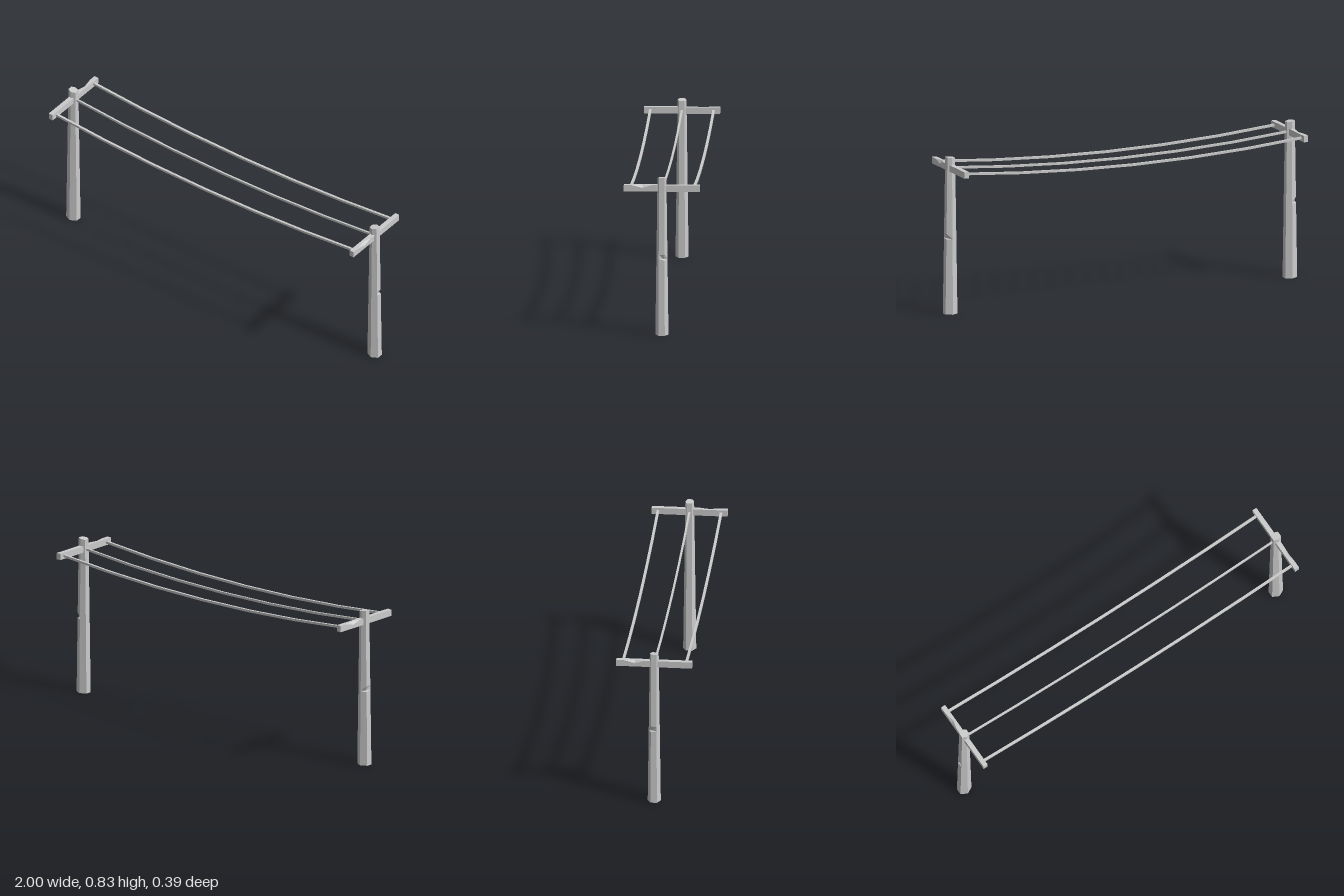
import * as THREE from 'three';

const material = new THREE.MeshStandardMaterial({ color: 0xcccccc, flatShading: true, side: THREE.DoubleSide });
const POST_X = 0.966;

// Skin a list of equal-sized rings (arrays of Vector3) and cap both ends.
function loft(name, rings) {
  const n = rings[0].length, index = [];
  for (let r = 0; r < rings.length - 1; r++) {
    for (let i = 0; i < n; i++) {
      const a = r * n + i, b = r * n + (i + 1) % n;
      index.push(a, a + n, b, b, a + n, b + n);
    }
  }
  const last = (rings.length - 1) * n;
  for (let i = 1; i < n - 1; i++) {
    index.push(0, i, i + 1, last, last + i + 1, last + i);
  }
  const geometry = new THREE.BufferGeometry().setFromPoints(rings.flat());
  geometry.setIndex(index);
  const flat = geometry.toNonIndexed();
  flat.computeVertexNormals();
  const mesh = new THREE.Mesh(flat, material);
  mesh.name = name;
  return mesh;
}

// Six-sided tapering post, with a nick cut in the outer back edge.
function makePost(side) {
  const rings = [0, 0.395, 0.4, 0.425, 0.825].map((y, level) => {
    const t = y / 0.825;
    const hx = THREE.MathUtils.lerp(0.034, 0.022, t);
    const hz = THREE.MathUtils.lerp(0.034, 0.023, t);
    const fz = THREE.MathUtils.lerp(0.0165, 0.0135, t);
    const outline = [[hx, fz], [hx, -fz], [0, -hz], [-hx, -fz], [-hx, fz], [0, hz]];
    return outline.map(([x, z], i) => {
      const nick = level === 2 && i === 1 ? 0.65 : 1;
      const slope = level === 4 ? x * 0.12 : 0;
      return new THREE.Vector3(side * (POST_X + x * nick), y + slope, z * nick);
    });
  });
  return loft('post', rings);
}

// Cross arm with a shallow chip along its outer top edge.
function makeCrossArm(side) {
  const h = 0.0125, bottom = 0.753, top = 0.787;
  const chips = [[-0.196, 0], [0.05, 0], [0.1, 1], [0.16, 0], [0.196, 0]];
  const rings = chips.map(([z, chip]) => [
    [-h, bottom], [-h, top], [h - 0.012 * chip, top], [h, top - 0.015 * chip], [h, bottom],
  ].map(([x, y]) => new THREE.Vector3(x, y, z)));
  const arm = loft('crossArm', rings);
  arm.position.x = side * 0.965;
  if (side < 0) arm.rotation.y = Math.PI;
  return arm;
}

// Sagging square wire built from a few straight segments.
function makeWire(z, halfWidth) {
  const segments = 6, h = 0.006, rings = [];
  for (let i = 0; i <= segments; i++) {
    const t = (i / segments) * 2 - 1;
    const y = 0.7235 + 0.0465 * t * t;
    rings.push([[-h, -halfWidth], [-h, halfWidth], [h, halfWidth], [h, -halfWidth]]
      .map(([dy, dz]) => new THREE.Vector3(t * 0.96, y + dy, z + dz)));
  }
  return loft('wire', rings);
}

export function createModel() {
  const model = new THREE.Group();
  model.name = 'wireLine';

  for (const side of [-1, 1]) {
    const pole = new THREE.Group();
    pole.name = side > 0 ? 'leftPole' : 'rightPole';
    pole.add(makePost(side), makeCrossArm(side));
    model.add(pole);
  }

  for (const z of [-0.163, 0, 0.163]) model.add(makeWire(z, z === 0 ? 0.005 : 0.0065));
  return model;
}
